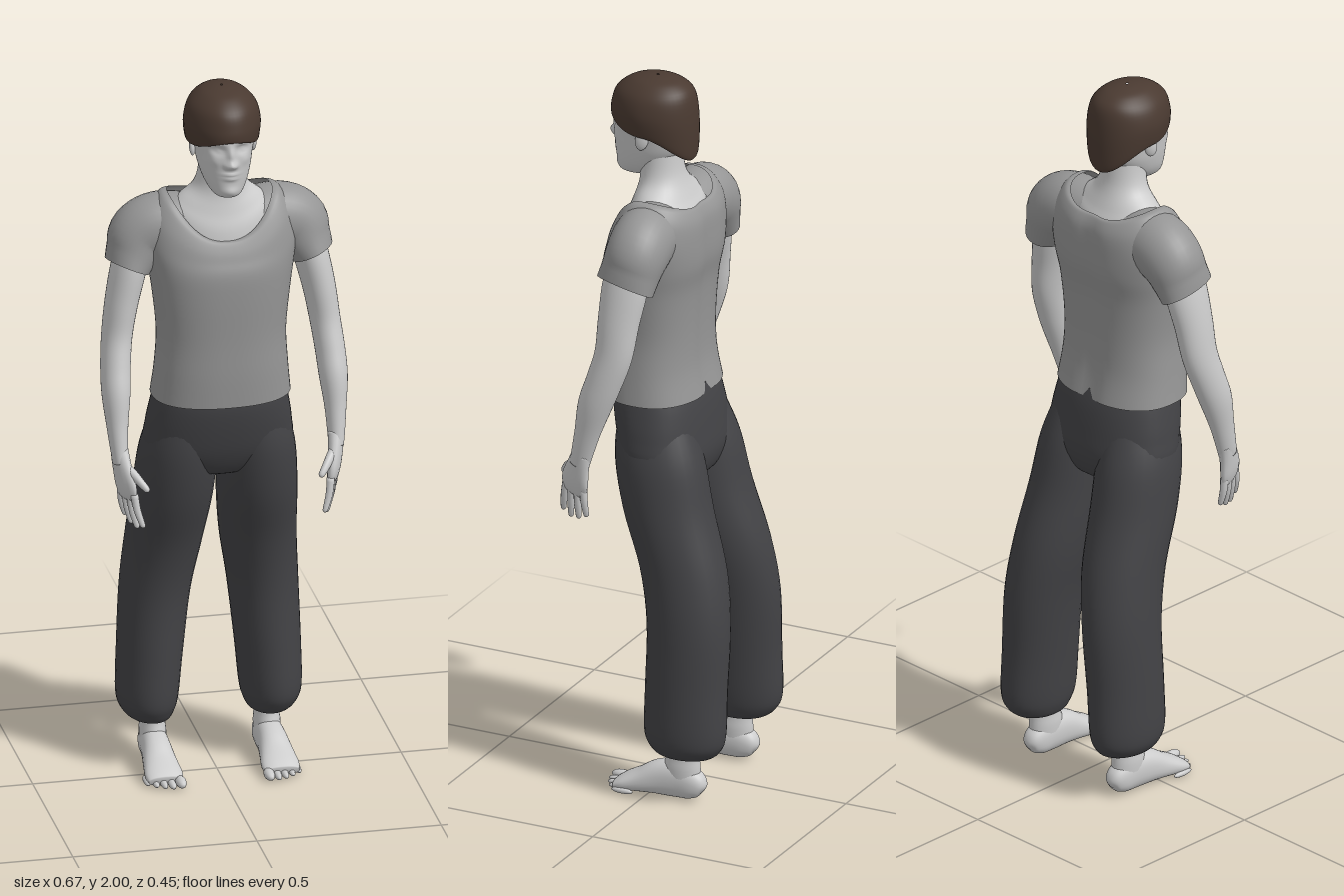
import * as THREE from 'three';

const material = (color, side = THREE.FrontSide) =>
  new THREE.MeshStandardMaterial({ color, side, roughness: 0.8 });

// Uniform Catmull-Rom between rows of numbers
function blend(rows, i, t) {
  const last = rows.length - 1;
  const row = (k) => rows[Math.min(last, Math.max(0, k))];
  const [p, q, r, s] = [row(i - 1), row(i), row(i + 1), row(i + 2)];
  return [0, 1, 2, 3, 4, 5, 6].map((k) => {
    const [a, b, c, d] = [p[k] || 0, q[k] || 0, r[k] || 0, s[k] || 0];
    return b + 0.5 * t * (c - a + t * (2 * a - 5 * b + 4 * c - d + t * (3 * (b - c) + d - a)));
  });
}

// Skin over elliptical sections [x, y, z, radiusA, radiusB, frontDrop, backDrop].
// radiusA runs along "axis"; flat keeps every ring horizontal; n squares the ring.
function loft(rows, { axis = [1, 0, 0], flat = false, n = 2, segs = 32, steps = 5, caps = true, warp } = {}) {
  const rings = [];
  for (let i = 0; i < rows.length - 1; i++)
    for (let s = 0; s < steps; s++) rings.push(blend(rows, i, s / steps));
  rings.push(blend(rows, rows.length - 1, 0));
  const centre = rings.map((r) => new THREE.Vector3(r[0], r[1], r[2]));
  const count = rings.length, pos = [], index = [], S = new THREE.Vector3(...axis);
  const power = (v) => Math.sign(v) * Math.abs(v) ** (2 / n);
  rings.forEach((r, i) => {
    const T = flat ? new THREE.Vector3(0, 1, 0)
      : centre[Math.min(count - 1, i + 1)].clone().sub(centre[Math.max(0, i - 1)]).normalize();
    const U = S.clone().addScaledVector(T, -S.dot(T)).normalize();
    const V = T.clone().cross(U);
    for (let j = 0; j < segs; j++) {
      const th = (j / segs) * Math.PI * 2, c = Math.cos(th), s = Math.sin(th);
      const p = centre[i].clone().addScaledVector(U, r[3] * power(c)).addScaledVector(V, r[4] * power(s));
      p.y -= s * s * (s < 0 ? r[5] : r[6]);
      if (warp) warp(p);
      pos.push(p.x, p.y, p.z);
      if (i < count - 1) {
        const a = i * segs + j, b = i * segs + ((j + 1) % segs);
        index.push(a, b, a + segs, b, b + segs, a + segs);
      }
    }
  });
  if (caps) {
    const e = (count - 1) * segs, k = count * segs;
    for (const base of [0, e]) {
      const m = new THREE.Vector3();
      for (let j = 0; j < segs; j++) m.add(new THREE.Vector3().fromArray(pos, (base + j) * 3));
      m.divideScalar(segs);
      pos.push(m.x, m.y, m.z);
    }
    for (let j = 0; j < segs; j++) {
      const j2 = (j + 1) % segs;
      index.push(k, j2, j, k + 1, e + j, e + j2);
    }
  }
  const g = new THREE.BufferGeometry();
  g.setAttribute('position', new THREE.Float32BufferAttribute(pos, 3));
  g.setIndex(index);
  g.computeVertexNormals();
  return g;
}

// Mirrored copy across x with the winding turned back
function mirror(geometry) {
  const g = geometry.clone().scale(-1, 1, 1);
  const a = g.index.array;
  for (let i = 0; i < a.length; i += 3) [a[i], a[i + 1]] = [a[i + 1], a[i]];
  g.computeVertexNormals();
  return g;
}

export function createModel() {
  const model = new THREE.Group();
  model.name = 'standingMan';
  const skin = material(0xcccccc), hairBrown = material(0x4a3a31, THREE.DoubleSide);
  const cloth = material(0x969696, THREE.DoubleSide), dark = material(0x434346, THREE.DoubleSide);
  const add = (name, geometry, mat) => {
    const mesh = new THREE.Mesh(geometry, mat);
    mesh.name = name;
    model.add(mesh);
  };
  const pair = (name, geometry, mat) => {
    add('left' + name, geometry, mat);
    add('right' + name, mirror(geometry), mat);
  };

  // Head, with face relief as soft bumps [x, y, width, height, depth]
  const relief = [
    [0, 1.818, 0.013, 0.012, 0.018], [0, 1.845, 0.009, 0.022, 0.011], [0.012, 1.814, 0.007, 0.007, 0.006],
    [0.033, 1.858, 0.017, 0.011, -0.012], [0.033, 1.857, 0.01, 0.006, 0.006], [0.03, 1.879, 0.022, 0.007, 0.004],
    [0, 1.789, 0.02, 0.005, 0.006], [0, 1.776, 0.018, 0.005, 0.006], [0, 1.738, 0.02, 0.013, 0.006],
    [0.045, 1.825, 0.015, 0.015, 0.004],
  ];
  const face = (p) => {
    if (p.z < 0.1) return;
    let dz = 0;
    for (const [x, y, w, h, d] of relief)
      dz += d * Math.exp(-(((Math.abs(p.x) - x) / w) ** 2) - ((p.y - y) / h) ** 2);
    p.z += dz * Math.min(1, (p.z - 0.1) / 0.03);
  };
  add('head', loft([
    [0, 1.712, 0.115, 0.02, 0.03], [0, 1.722, 0.118, 0.038, 0.05], [0, 1.75, 0.1, 0.056, 0.073],
    [0, 1.79, 0.083, 0.069, 0.094], [0, 1.83, 0.075, 0.076, 0.104], [0, 1.88, 0.071, 0.084, 0.108],
    [0, 1.93, 0.068, 0.082, 0.104], [0, 1.97, 0.065, 0.05, 0.065],
  ], { flat: true, segs: 96, steps: 9, n: 2.15, warp: face }), skin);
  const ear = new THREE.SphereGeometry(1, 16, 12).scale(0.009, 0.03, 0.018);
  pair('Ear', ear.rotateY(0.35).rotateX(-0.15).translate(0.081, 1.838, 0.066), skin);

  // Hair cap: high over the brow, low at the nape, narrower in front
  add('hair', loft([
    [0, 1.856, 0.07, 0.083, 0.106, -0.03, 0.07], [0, 1.85, 0.069, 0.094, 0.116, -0.032, 0.075],
    [0, 1.865, 0.068, 0.1, 0.121, -0.025, 0.065], [0, 1.91, 0.067, 0.103, 0.12, -0.004, 0.025],
    [0, 1.955, 0.065, 0.09, 0.108], [0, 1.985, 0.06, 0.06, 0.075], [0, 1.997, 0.058, 0.028, 0.035],
    [0, 2, 0.058, 0.003, 0.004],
  ], { flat: true, segs: 48, caps: false, n: 2.1,
    warp: (p) => { p.x *= 1 - 1.2 * Math.max(0, p.z - 0.07); } }), hairBrown);

  // Neck spreading to the collarbones under the neckline
  add('neck', loft([
    [0, 1.58, 0.035, 0.15, 0.105, 0.05, 0], [0, 1.65, 0.035, 0.137, 0.096, 0.05, 0.02],
    [0, 1.68, 0.036, 0.112, 0.079, 0.03, 0.015], [0, 1.71, 0.04, 0.077, 0.063, 0.01],
    [0, 1.75, 0.045, 0.062, 0.058], [0, 1.82, 0.05, 0.056, 0.056],
  ], { flat: true }), skin);

  // Shirt body with scooped neckline and shallow spine groove
  add('shirtBody', loft([
    [0, 1.115, 0.04, 0.187, 0.137], [0, 1.2, 0.049, 0.178, 0.131], [0, 1.3, 0.05, 0.173, 0.13],
    [0, 1.42, 0.048, 0.185, 0.135], [0, 1.5, 0.04, 0.197, 0.141, 0.01], [0, 1.57, 0.033, 0.205, 0.135, 0.04],
    [0, 1.64, 0.03, 0.192, 0.128, 0.085, 0.02], [0, 1.684, 0.03, 0.162, 0.115, 0.107, 0.033],
    [0, 1.69, 0.03, 0.14, 0.105, 0.11, 0.035],
  ], { flat: true, n: 2.35, segs: 64, caps: false,
    warp: (p) => { if (p.z < 0) p.z += 0.01 * Math.exp(-((p.x / 0.035) ** 2)); } }), cloth);
  const alongZ = { axis: [0, 0, 1] };
  pair('Sleeve', loft([
    [0.08, 1.59, 0.02, 0.085, 0.085], [0.16, 1.592, 0.016, 0.086, 0.092], [0.21, 1.568, 0.014, 0.084, 0.088],
    [0.234, 1.525, 0.022, 0.082, 0.072], [0.251, 1.488, 0.03, 0.083, 0.06],
  ], { ...alongZ, caps: false }), cloth);

  // Arms
  pair('Arm', loft([
    [0.228, 1.56, 0.025, 0.06, 0.045], [0.248, 1.48, 0.032, 0.064, 0.047], [0.268, 1.39, 0.04, 0.058, 0.044],
    [0.282, 1.3, 0.048, 0.053, 0.041], [0.291, 1.22, 0.072, 0.05, 0.04], [0.295, 1.15, 0.097, 0.047, 0.038],
    [0.296, 1.07, 0.118, 0.036, 0.029], [0.294, 1.0, 0.136, 0.03, 0.023], [0.292, 0.97, 0.144, 0.028, 0.02],
  ], alongZ), skin);

  // Hands: palm, four fingers and thumb, turned inwards
  const wide = [-0.35, 0, 0.94], across = { axis: wide, segs: 16 };
  pair('Palm', loft([
    [0.294, 1.005, 0.135, 0.028, 0.022], [0.29, 0.965, 0.148, 0.036, 0.02], [0.283, 0.92, 0.161, 0.046, 0.018],
    [0.278, 0.89, 0.166, 0.043, 0.014], [0.276, 0.876, 0.168, 0.032, 0.008],
  ], across), skin);
  const reach = [0.084, 0.098, 0.102, 0.09];
  reach.forEach((length, i) => {
    const k = i - 1.5;
    const at = (t, r) => {
      const w = k * (0.022 + 0.008 * t);
      return [0.278 - 0.018 * t * t + wide[0] * w, 0.898 - length * t, 0.165 + 0.008 * t + wide[2] * w, r, r];
    };
    pair('Finger' + (i + 1), loft([at(0, 0.011), at(0.45, 0.01), at(0.85, 0.008), at(0.96, 0.006), at(1, 0.001)],
      { axis: wide, segs: 10, steps: 3 }), skin);
  });
  pair('Thumb', loft([
    [0.286, 0.965, 0.158, 0.016, 0.014], [0.266, 0.95, 0.186, 0.014, 0.012], [0.249, 0.932, 0.206, 0.011, 0.01],
    [0.236, 0.917, 0.218, 0.008, 0.008], [0.233, 0.913, 0.221, 0.001, 0.001],
  ], { axis: [0, 1, 0], segs: 12, steps: 3 }), skin);

  // Baggy trousers gathered above the ankles
  add('trouserSeat', loft([
    [0, 0.875, -0.005, 0.05, 0.06], [0, 0.895, -0.004, 0.13, 0.095], [0, 0.95, 0.003, 0.197, 0.118],
    [0, 1.02, 0.016, 0.196, 0.125], [0, 1.09, 0.028, 0.184, 0.125], [0, 1.14, 0.035, 0.172, 0.117],
  ], { flat: true, n: 2.3, segs: 48 }), dark);
  pair('TrouserLeg', loft([
    [0.095, 1.06, 0.02, 0.08, 0.1], [0.105, 0.95, 0, 0.103, 0.123], [0.114, 0.81, -0.03, 0.108, 0.125],
    [0.128, 0.65, -0.082, 0.103, 0.12], [0.146, 0.5, -0.107, 0.095, 0.116], [0.16, 0.32, -0.107, 0.088, 0.115],
    [0.167, 0.2, -0.107, 0.083, 0.115], [0.166, 0.155, -0.107, 0.072, 0.1], [0.16, 0.132, -0.103, 0.052, 0.074],
    [0.156, 0.138, -0.098, 0.03, 0.045],
  ], { flat: true }), dark);

  // Ankles, feet and toes
  pair('Ankle', loft([
    [0.155, 0.04, -0.09, 0.034, 0.055], [0.155, 0.09, -0.092, 0.036, 0.052], [0.155, 0.13, -0.096, 0.033, 0.046],
    [0.156, 0.2, -0.1, 0.036, 0.048],
  ], { flat: true, segs: 24 }), skin);
  pair('Foot', loft([
    [0.155, 0.032, -0.156, 0.006, 0.008], [0.155, 0.036, -0.149, 0.023, 0.027], [0.155, 0.045, -0.125, 0.033, 0.043],
    [0.155, 0.054, -0.08, 0.037, 0.052], [0.157, 0.05, -0.03, 0.04, 0.048], [0.158, 0.036, 0.02, 0.046, 0.034],
    [0.158, 0.024, 0.065, 0.051, 0.022], [0.158, 0.016, 0.092, 0.046, 0.013],
  ], { n: 2.3 }), skin);
  for (let i = 0; i < 5; i++) {
    const x = 0.12 + 0.0205 * i + (i ? 0.003 : 0), r = i ? 0.0108 - 0.0006 * i : 0.0145;
    const toe = new THREE.SphereGeometry(1, 14, 10).scale(r, r * 0.95, 0.032);
    pair('Toe' + (i + 1), toe.translate(x, r + 0.001, 0.102 - 0.0025 * i * i), skin);
  }
  return model;
}
